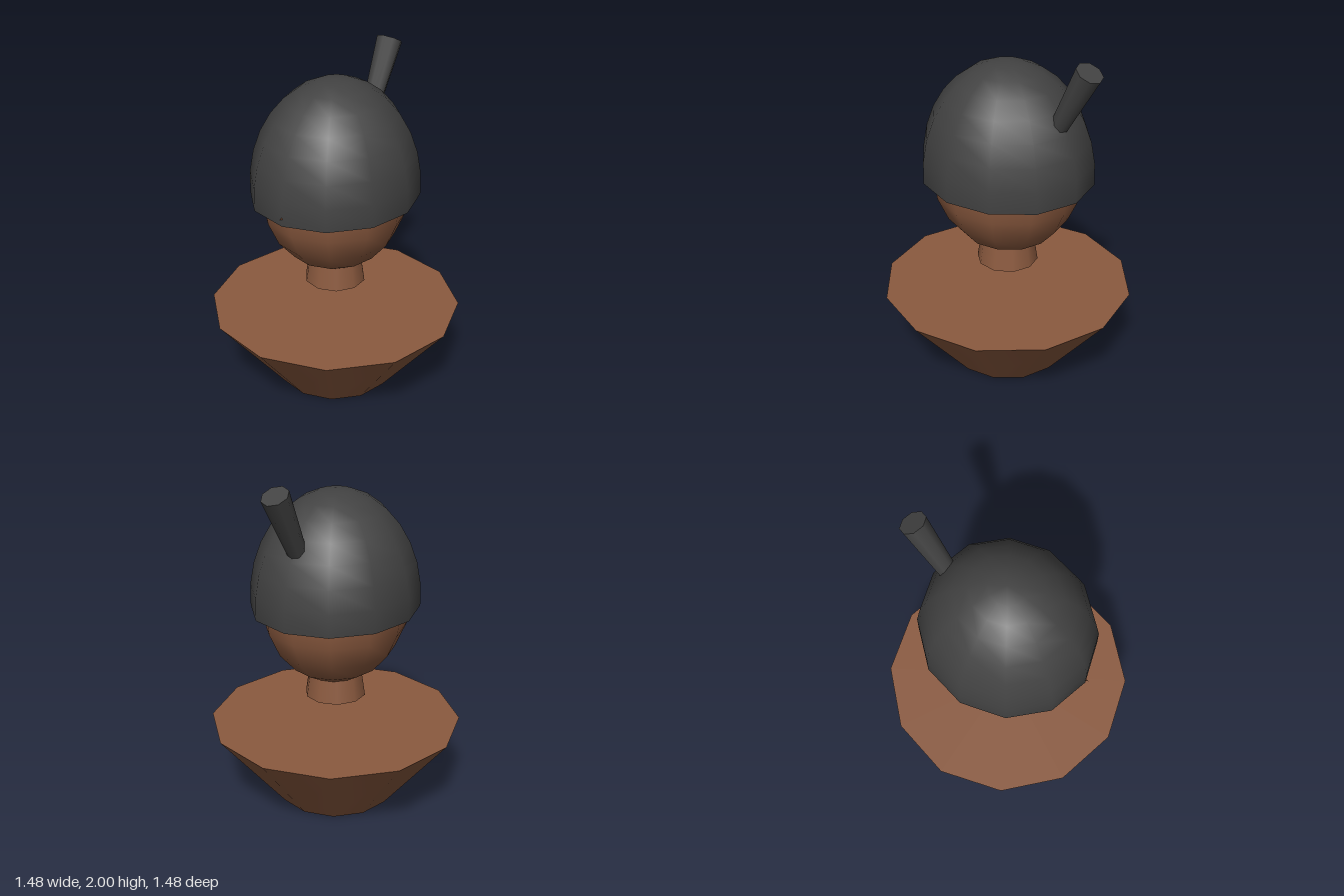
import * as THREE from 'three';

export function createModel() {
  const model = new THREE.Group();
  const skin = new THREE.MeshStandardMaterial({ color: 0x8b5a3f });
  skin.name = 'warm brown';
  const cloth = new THREE.MeshStandardMaterial({ color: 0x424242, side: THREE.DoubleSide });
  cloth.name = 'charcoal';

  const add = (name, geometry, material, x, y, z) => {
    const mesh = new THREE.Mesh(geometry, material);
    mesh.name = name;
    mesh.position.set(x, y, z);
    model.add(mesh);
    return mesh;
  };

  // Tapered torso, floating below the neck
  add('torso', new THREE.CylinderGeometry(0.74, 0.345, 0.49, 12), skin, 0, 0.245, 0);

  // Neck, reaching into the head
  add('neck', new THREE.CylinderGeometry(0.15, 0.18, 0.2, 10), skin, 0, 0.75, 0);

  // Egg-shaped head
  const head = add('head', new THREE.SphereGeometry(1, 12, 10), skin, 0, 1.25, 0);
  head.scale.set(0.427, 0.5, 0.45);

  // Nose, whose tip just pokes through the cap
  const nose = add('nose', new THREE.ConeGeometry(0.04, 0.14, 6), skin, 0, 1.245, 0.46);
  nose.rotation.x = Math.PI / 2;

  // Open shell of the cap, ending just below the widest ring
  const capShell = new THREE.SphereGeometry(1, 12, 8, 0, Math.PI * 2, 0, 1.65);
  const cap = add('cap', capShell, cloth, 0, 1.25, 0);
  cap.scale.set(0.478, 0.635, 0.514);

  // Ponytail leaning backwards from the crown
  const tilt = 0.5, length = 0.45;
  const tail = add('ponytail', new THREE.CylinderGeometry(0.077, 0.05, length, 8), cloth,
    0, 1.962 - Math.cos(tilt) * length / 2, -0.568 + Math.sin(tilt) * length / 2);
  tail.rotation.x = -tilt;

  return model;
}
